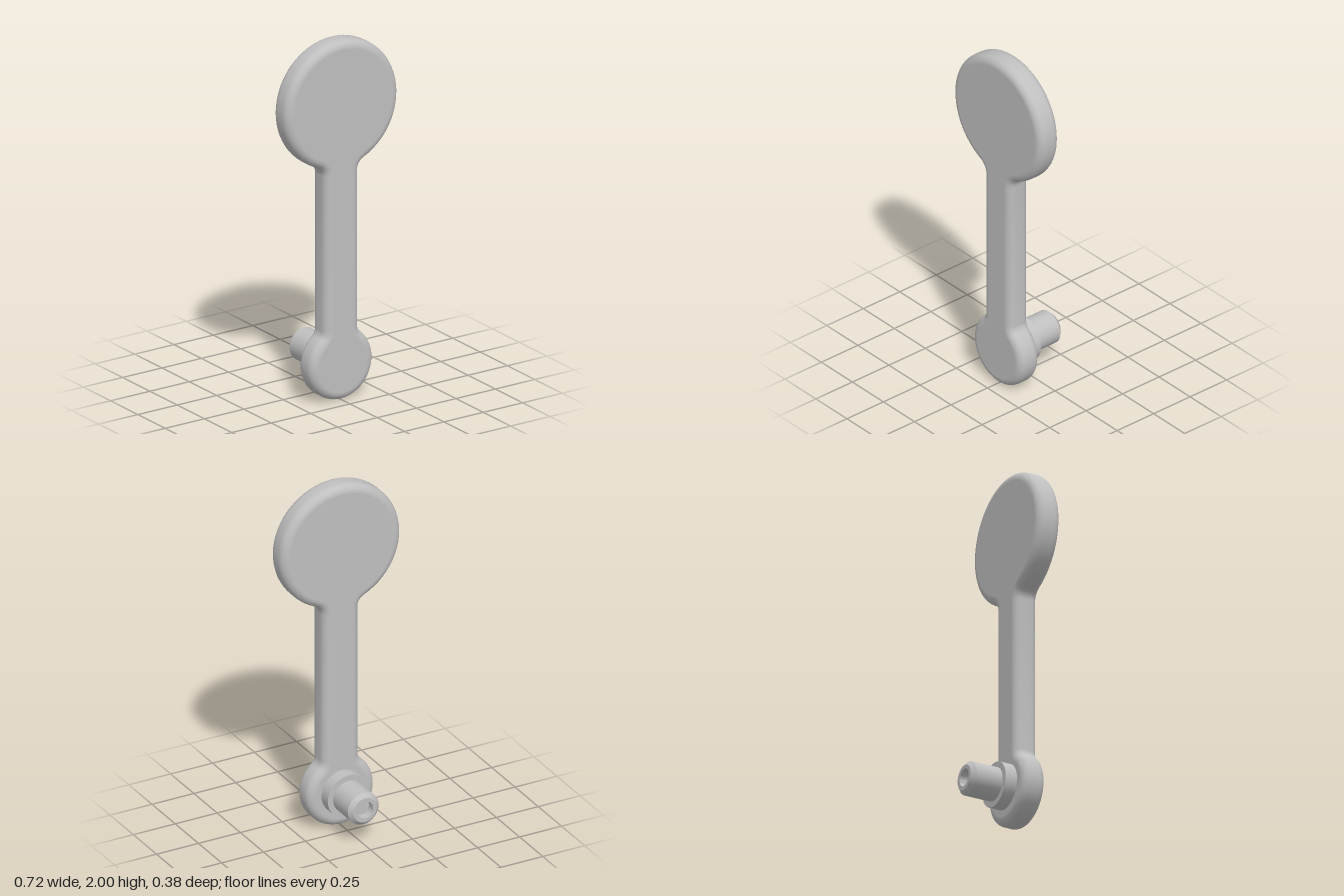
import * as THREE from 'three';
import { toCreasedNormals } from 'three/addons/utils/BufferGeometryUtils.js';

// Points along an arc, leaving out the first so that arcs join without duplicates
function arc(cx, cy, r, from, to, steps) {
  return Array.from({ length: steps }, (_, i) => {
    const a = from + ((to - from) * (i + 1)) / steps;
    return new THREE.Vector2(cx + r * Math.cos(a), cy + r * Math.sin(a));
  });
}

// Fillet between a disc and the straight bar: centre offsets and contact angle
function fillet(discRadius, barHalf, r) {
  const x = barHalf + r;
  const dy = Math.sqrt((discRadius + r) ** 2 - x * x);
  return { x, dy, r, angle: Math.atan2(dy, x) };
}

export function createModel() {
  const grey = new THREE.MeshStandardMaterial({ color: 0xbfbfbf });
  grey.name = 'grey';
  const group = new THREE.Group();
  group.name = 'lever';

  // Lever outline: large disc, bar and small disc with filleted joints
  const bar = 0.108, topR = 0.358, topY = 2 - topR, lowR = 0.2, lowY = lowR;
  const t = fillet(topR, bar, 0.06), l = fillet(lowR, bar, 0.05);
  const ty = topY - t.dy, ly = lowY + l.dy, PI = Math.PI;
  const outline = new THREE.Shape([
    ...arc(0, topY, topR, -t.angle, PI + t.angle, 56),
    ...arc(-t.x, ty, t.r, t.angle, 0, 6),
    new THREE.Vector2(-bar, ly),
    ...arc(-l.x, ly, l.r, 0, -l.angle, 6),
    ...arc(0, lowY, lowR, PI - l.angle, 2 * PI + l.angle, 44),
    ...arc(l.x, ly, l.r, PI + l.angle, PI, 6),
    new THREE.Vector2(bar, ty),
    ...arc(t.x, ty, t.r, PI, PI - t.angle, 6),
  ]);

  // Lever body with rounded rim
  const back = 0.055, front = 0.19, round = 0.045;
  const body = toCreasedNormals(new THREE.ExtrudeGeometry(outline, {
    depth: front - back - 2 * round, steps: 1,
    bevelEnabled: true, bevelThickness: round, bevelSize: round, bevelOffset: -round, bevelSegments: 6,
  }), 0.6);
  body.translate(0, 0, back + round);
  // Keep the front and back faces perfectly flat
  const caps = body.groups[0], pos = body.attributes.position;
  for (let i = caps.start; i < caps.start + caps.count; i++) {
    body.attributes.normal.setXYZ(i, 0, 0, pos.getZ(i) > (front + back) / 2 ? 1 : -1);
  }
  const lever = new THREE.Mesh(body, grey);
  lever.name = 'leverBody';
  group.add(lever);

  // Turned parts pointing backwards, profiles given as [radius, z]
  function turned(name, profile) {
    const points = profile.map(([r, z]) => new THREE.Vector2(r, -z));
    const geometry = toCreasedNormals(new THREE.LatheGeometry(points, 40).toNonIndexed(), 0.5);
    geometry.rotateX(-PI / 2);
    const mesh = new THREE.Mesh(geometry, grey);
    mesh.name = name;
    mesh.position.y = 0.207;
    group.add(mesh);
  }
  turned('collar', [[0.124, 0.06], [0.124, -0.013], [0.08, -0.013]]);
  // Chamfered peg with a blind hole in its end
  turned('peg', [[0.092, 0], [0.092, -0.17], [0.07, -0.192], [0.048, -0.192], [0.048, -0.145], [0, -0.145]]);

  return group;
}
